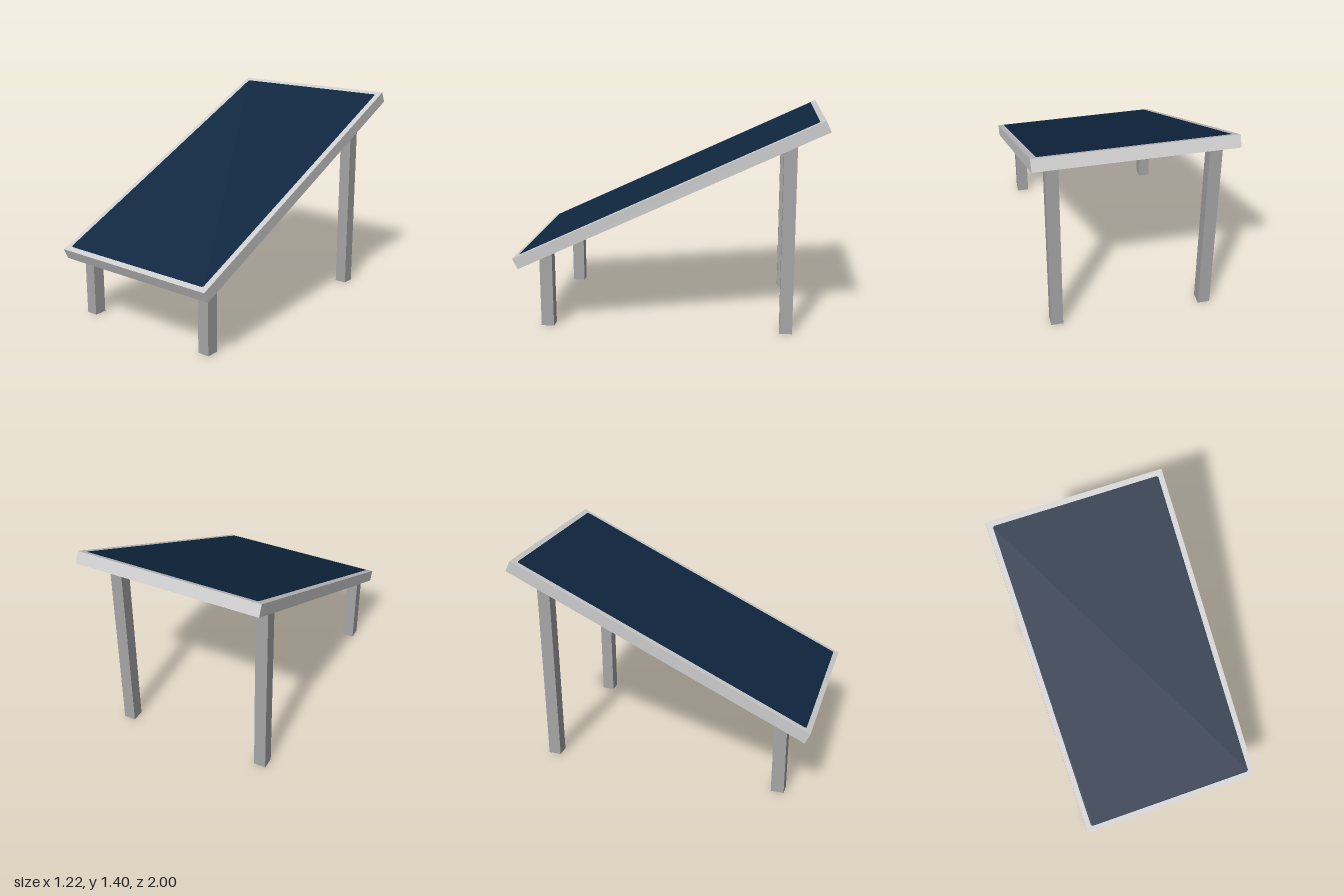
import * as THREE from 'three';

const TILT = THREE.MathUtils.degToRad(25);
const WIDTH = 1.216, LENGTH = 2.171, THICK = 0.077, CENTRE_Y = 0.91;

// Height of the panel's sloping underside at a given z
const undersideY = (z) => CENTRE_Y - THICK / 2 / Math.cos(TILT) - z * Math.tan(TILT);

function material(name, color) {
  const m = new THREE.MeshStandardMaterial({ color });
  m.name = name;
  return m;
}

// Open square tube whose top is cut to the slope of the panel
function legGeometry(z, width, depth) {
  let geo = new THREE.CylinderGeometry(Math.SQRT1_2, Math.SQRT1_2, 1, 4, 1, true);
  geo.rotateY(Math.PI / 4).scale(width, 1, depth);
  const p = geo.attributes.position;
  for (let i = 0; i < p.count; i++) {
    p.setY(i, p.getY(i) > 0 ? undersideY(z + p.getZ(i)) + 0.01 : 0);
  }
  geo = geo.toNonIndexed();
  geo.computeVertexNormals();
  return geo;
}

// Flat plate outline with small clipped corners
function plateShape(w, l, c) {
  const x = w / 2, y = l / 2;
  return new THREE.Shape([
    [-x + c, -y], [x - c, -y], [x, -y + c], [x, y - c],
    [x - c, y], [-x + c, y], [-x, y - c], [-x, -y + c],
  ].map(([a, b]) => new THREE.Vector2(a, b)));
}

export function createModel() {
  const model = new THREE.Group();
  model.name = 'solarPanel';
  const frameGrey = material('frameGrey', 0xcccccc);
  const legGrey = material('legGrey', 0xa6a6a6);
  legGrey.side = THREE.DoubleSide;
  const cellBlue = material('cellBlue', 0x0f2740);

  // Tilted panel: frame slab with a dark cell sheet on top
  const panel = new THREE.Group();
  panel.name = 'panel';
  panel.position.y = CENTRE_Y;
  panel.rotation.x = TILT;
  const frame = new THREE.Mesh(new THREE.BoxGeometry(WIDTH, THICK, LENGTH), frameGrey);
  frame.name = 'frame';
  const cells = new THREE.Mesh(new THREE.ShapeGeometry(plateShape(1.142, 2.097, 0.01)), cellBlue);
  cells.name = 'cellSheet';
  cells.rotation.x = -Math.PI / 2;
  cells.position.y = THICK / 2 + 0.002;
  panel.add(frame, cells);
  model.add(panel);

  // Short legs in front, tall legs behind
  for (const [end, z] of [['front', 0.807], ['back', -0.765]]) {
    for (const [side, x] of [['Right', -0.533], ['Left', 0.467]]) {
      const leg = new THREE.Mesh(legGeometry(z, 0.08, 0.084), legGrey);
      leg.name = `${end}${side}Leg`;
      leg.position.set(x, 0, z);
      model.add(leg);
    }
  }
  return model;
}
